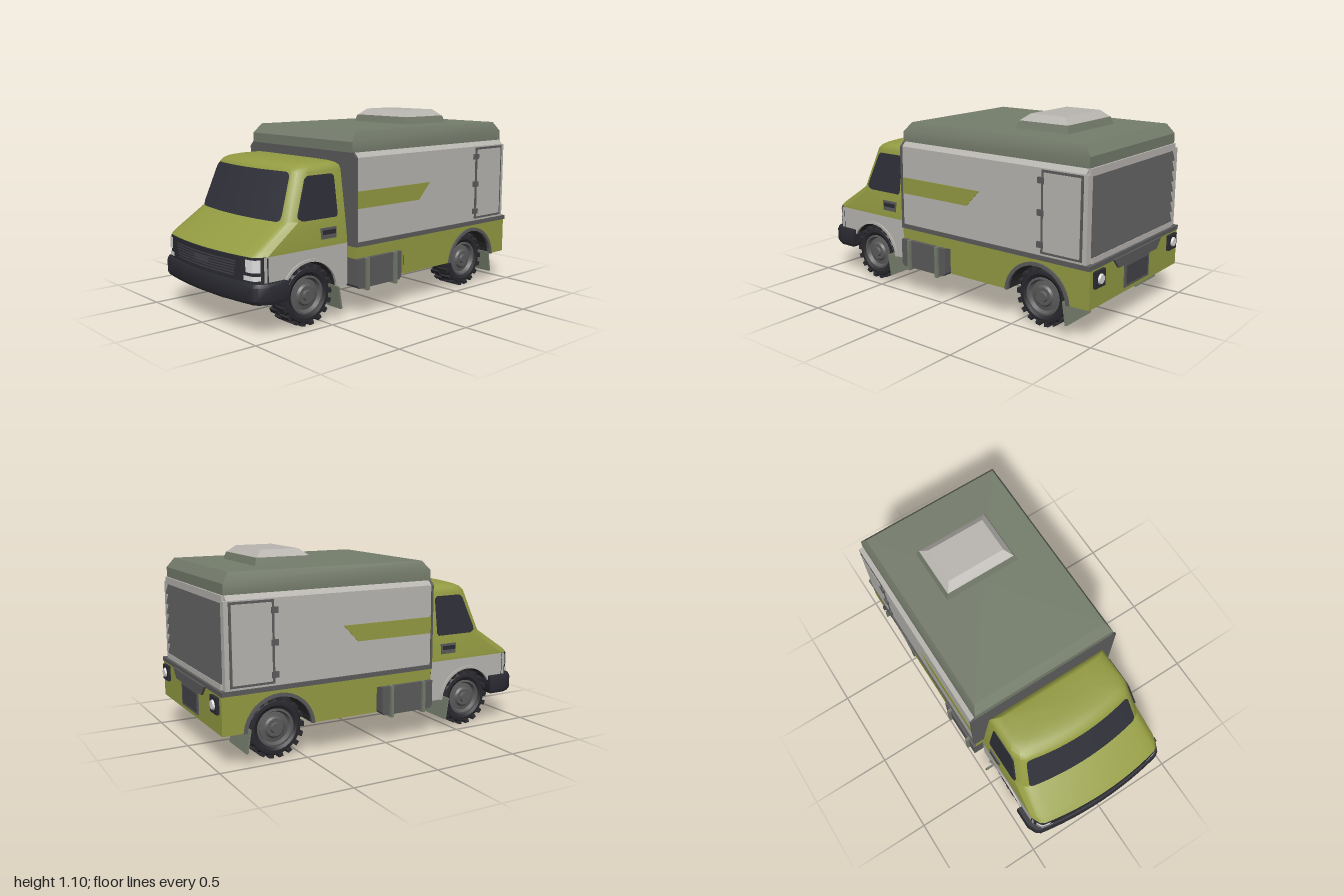
import * as THREE from 'three';
import { toCreasedNormals } from 'three/addons/utils/BufferGeometryUtils.js';

const mat = (name, color) => Object.assign(new THREE.MeshStandardMaterial({ color }), { name });
const M = {
  olive: mat('olive paint', 0x949c42), light: mat('light grey panel', 0xb9b6b1),
  roof: mat('grey green', 0x757d6c), trim: mat('dark grey trim', 0x5c5c5c),
  dark: mat('dark plastic', 0x2b2b33), glass: mat('dark glass', 0x32323c),
  tyre: mat('tyre rubber', 0x2a2a2f), floor: mat('underside', 0x2c2c2c),
  lamp: mat('lamp white', 0xdcdcdc), grille: mat('grille grey', 0x43434a),
};

// Stack of rings ([x, z] points, counter-clockwise from above) with closed ends
function loft(rings) {
  const pos = [], tri = (...p) => p.forEach(v => pos.push(...v));
  const P = rings.map(r => r.pts.map(([x, z]) => [x, r.y, z]));
  const n = P[0].length;
  for (let i = 0; i + 1 < P.length; i++) for (let j = 0; j < n; j++) {
    const k = (j + 1) % n;
    tri(P[i][j], P[i][k], P[i + 1][k], P[i][j], P[i + 1][k], P[i + 1][j]);
  }
  const mid = r => [0, r[0][1], r.reduce((s, p) => s + p[2], 0) / n];
  const bot = P[0], top = P[P.length - 1];
  for (let j = 0; j < n; j++) {
    const k = (j + 1) % n;
    tri(mid(top), top[j], top[k], mid(bot), bot[k], bot[j]);
  }
  const g = new THREE.BufferGeometry();
  g.setAttribute('position', new THREE.Float32BufferAttribute(pos, 3));
  return toCreasedNormals(g, 0.5);
}
const rect = (y, w, zf, zb) => ({ y, pts: [[-w, zf], [w, zf], [w, zb], [-w, zb]] });

// Bowed cab front: setback from the centre line at x
function setback(x, w) {
  const u = Math.abs(x), e = w - 0.05;
  return u < e ? 0.04 * (u / e) ** 2 : 0.04 + 0.07 * ((u - e) / 0.05) ** 2;
}
function bowed(y, w, zf, zb) {
  const xs = [-w, -w + 0.025];
  for (let i = -6; i <= 6; i++) xs.push((w - 0.05) * i / 6);
  xs.push(w - 0.025, w);
  return { y, pts: [...xs.map(x => [x, zf - setback(x, w)]), [w, zb], [-w, zb]] };
}

// Thin skin facing +z; span(y) gives [left, right], surf(x, y) gives z
function patch(ys, span, surf, n = 12) {
  const pos = [], idx = [];
  ys.forEach((y, r) => {
    const [a, b] = span(y);
    for (let i = 0; i <= n; i++) {
      const x = a + (b - a) * i / n;
      pos.push(x, y, surf(x, y));
      if (r && i) {
        const d = r * (n + 1) + i, c = d - n - 1;
        idx.push(c - 1, c, d, c - 1, d, d - 1);
      }
    }
  });
  const g = new THREE.BufferGeometry();
  g.setAttribute('position', new THREE.Float32BufferAttribute(pos, 3));
  g.setIndex(idx);
  g.computeVertexNormals();
  return g;
}

// Side profile of [z, y] points, extruded between x0 and x1
function side(pts, x0, x1) {
  const s = new THREE.Shape(pts.map(([z, y]) => new THREE.Vector2(-z, y)));
  return new THREE.ExtrudeGeometry(s, { depth: x1 - x0, bevelEnabled: false, curveSegments: 1 })
    .rotateY(Math.PI / 2).translate(x0, 0, 0);
}
function arc(zc, r, yMin = 0.185, n = 16) {
  const a = Math.asin((yMin - 0.17) / r);
  return Array.from({ length: n + 1 }, (_, i) => {
    const t = a + (Math.PI - 2 * a) * i / n;
    return [zc + r * Math.cos(t), 0.17 + r * Math.sin(t)];
  });
}
const archPanel = (z0, z1, zc, yTop) => [[z0, 0.185], ...arc(zc, 0.19), [z1, 0.185], [z1, yTop], [z0, yTop]];
const flare = (zc, r0, r1) => [...arc(zc, r1), ...arc(zc, r0).reverse()];

export function createModel() {
  const root = new THREE.Group();
  const add = (name, geo, m, parent = root) => {
    const mesh = new THREE.Mesh(geo, m);
    mesh.name = name;
    parent.add(mesh);
    return mesh;
  };
  const box = (name, m, x0, x1, y0, y1, z0, z1) => add(name, new THREE.BoxGeometry(x1 - x0, y1 - y0, z1 - z0)
    .translate((x0 + x1) / 2, (y0 + y1) / 2, (z0 + z1) / 2), m);
  // Same box on both sides of the vehicle
  const pair = (name, m, x0, x1, ...r) => { box(name, m, x0, x1, ...r); box(name, m, -x1, -x0, ...r); };
  const sides = (name, m, pts, x0, x1) => { add(name, side(pts, x0, x1), m); add(name, side(pts, -x1, -x0), m); };

  // Cab shell
  add('cabShell', loft([
    bowed(0.42, 0.443, 0.985, 0.345), bowed(0.445, 0.442, 0.955, 0.345), bowed(0.57, 0.425, 0.775, 0.345),
    bowed(0.82, 0.387, 0.685, 0.345), bowed(0.84, 0.378, 0.667, 0.348), bowed(0.854, 0.36, 0.64, 0.36),
    bowed(0.863, 0.32, 0.6, 0.375), bowed(0.867, 0.22, 0.55, 0.39),
  ]), M.olive);

  // Windscreen with rounded corners
  const r = 0.03, y0 = 0.57, y1 = 0.822;
  const wAt = y => y < 0.57 ? 0.443 - (y - 0.42) * 0.12 : 0.425 - (y - 0.57) * 0.152;
  const glassY = [0, 0.004, 0.012, 0.03, 0.12, 0.222, 0.24, 0.248, 0.252].map(d => y0 + d);
  add('windscreen', patch(glassY, y => {
    const d = Math.max(0, r - Math.min(y - y0, y1 - y));
    const h = 0.372 - (y - y0) * 0.13 - (r - Math.sqrt(Math.max(0, r * r - d * d)));
    return [-h, h];
  }, (x, y) => 0.775 - (y - 0.57) * 0.36 - setback(x, wAt(y)) + 0.007, 24), M.glass);

  // Side windows follow the leaning cab sides
  const win = [[0.4, 0.585], [0.41, 0.57], [0.64, 0.57], [0.665, 0.585], [0.665, 0.605], [0.597, 0.785], [0.58, 0.8], [0.415, 0.8], [0.4, 0.785]];
  for (const s of [1, -1]) {
    const g = side(win, -0.004, 0.005), p = g.attributes.position;
    for (let i = 0; i < p.count; i++) p.setX(i, p.getX(i) + s * wAt(p.getY(i)));
    add('sideWindow', g, M.glass);
  }
  pair('handleRecess', M.trim, 0.42, 0.441, 0.46, 0.52, 0.42, 0.525);
  pair('doorHandle', M.dark, 0.42, 0.447, 0.485, 0.508, 0.43, 0.515);

  // Lower cab
  sides('cabLowerSide', [M.light, M.floor], archPanel(0.9, 0.345, 0.61, 0.42), 0.27, 0.443);
  sides('frontWheelArch', M.light, flare(0.61, 0.185, 0.2), 0.435, 0.452);
  box('cabFloor', M.floor, -0.27, 0.27, 0.185, 0.42, 0.345, 0.9);
  box('cabBackPanel', M.olive, -0.44, 0.44, 0.19, 0.42, 0.34, 0.346);

  // Front face: lamps and grille
  add('frontFace', loft([bowed(0.28, 0.446, 0.985, 0.9), bowed(0.415, 0.446, 0.985, 0.9)]), M.dark);
  const face = off => x => 0.985 - setback(x, 0.446) + off;
  const strip = (name, m, a, b, ya, yb, off = 0.005) => add(name, patch([ya, yb], () => [a, b], face(off)), m);
  for (const s of [1, -1]) {
    const at = (a, b) => s > 0 ? [a, b] : [-b, -a];
    strip('headlamp', M.lamp, ...at(0.36, 0.432), 0.342, 0.408);
    strip('indicator', M.lamp, ...at(0.345, 0.432), 0.3, 0.325);
  }
  for (let i = 0; i < 6; i++) {
    const y = 0.312 + i * 0.0145, h = 0.272 + i * 0.004;
    strip('grilleBar', M.grille, -h, h, y, y + 0.008);
  }
  strip('frontPlate', M.grille, -0.07, 0.07, 0.34, 0.375, 0.008);
  add('frontBumper', loft([
    bowed(0.18, 0.468, 0.99, 0.78), bowed(0.2, 0.475, 1.0, 0.77), bowed(0.27, 0.475, 1.0, 0.77), bowed(0.288, 0.47, 0.993, 0.77),
  ]), M.dark);

  // Cargo box
  const section = (w, ya, yb) => new THREE.Shape([[-w, ya], [w, ya], [w, yb - 0.03], [w - 0.03, yb], [-w + 0.03, yb], [-w, yb - 0.03]]
    .map(p => new THREE.Vector2(...p)));
  const ext = (s, z0, z1) => new THREE.ExtrudeGeometry(s, { depth: z1 - z0, bevelEnabled: false }).translate(0, 0, z0);
  add('cargoBox', ext(section(0.482, 0.41, 0.912), -0.935, 0.31), M.light);
  add('frontWall', ext(section(0.489, 0.4, 0.912), 0.308, 0.32), M.trim);
  add('cargoRoof', loft([rect(0.908, 0.456, 0.32, -0.94), rect(0.965, 0.456, 0.32, -0.94), rect(1.02, 0.43, 0.275, -0.9)]), M.roof);
  add('hatchBase', loft([rect(1.015, 0.235, -0.32, -0.67), rect(1.062, 0.22, -0.335, -0.655)]), M.roof);
  add('hatchTop', loft([rect(1.06, 0.22, -0.335, -0.655), rect(1.1, 0.18, -0.385, -0.61)]), M.light);
  box('sill', M.trim, -0.49, 0.49, 0.395, 0.42, -0.975, 0.32);
  sides('sideStripe', M.olive, [[0.312, 0.605], [0.312, 0.7], [-0.265, 0.7], [-0.175, 0.605]], 0.48, 0.485);

  // Side doors
  pair('doorFrame', M.trim, 0.478, 0.487, 0.432, 0.875, -0.925, -0.675);
  pair('doorPanel', M.light, 0.48, 0.49, 0.445, 0.862, -0.912, -0.69);
  for (const y of [0.48, 0.65, 0.82]) pair('doorHinge', M.trim, 0.478, 0.496, y - 0.016, y + 0.016, -0.695, -0.655);

  // Rear roller shutter
  const slats = [[-0.93, 0.45]];
  for (let i = 0; i < 7; i++) slats.push([-0.957, 0.45 + i * 0.06], [-0.942, 0.507 + i * 0.06]);
  slats.push([-0.93, 0.87]);
  add('rollerShutter', side(slats, -0.44, 0.44), M.trim);
  pair('rearPost', M.light, 0.44, 0.482, 0.42, 0.88, -0.95, -0.93);
  box('rearHeader', M.light, -0.455, 0.455, 0.868, 0.908, -0.95, -0.93);
  box('shutterSill', M.light, -0.44, 0.44, 0.42, 0.45, -0.96, -0.93);

  // Lower body
  box('midSkirt', M.olive, -0.48, 0.48, 0.33, 0.396, -0.06, 0.318);
  sides('rearSkirt', [M.olive, M.floor], archPanel(-0.055, -0.965, -0.65, 0.396), 0.27, 0.48);
  sides('rearWheelArch', M.trim, flare(-0.65, 0.188, 0.207), 0.47, 0.49);
  box('rearFloor', M.floor, -0.27, 0.27, 0.185, 0.396, -0.965, -0.055);
  box('skirtFront', M.olive, -0.479, 0.479, 0.187, 0.394, -0.056, -0.05);
  box('rearPanel', M.olive, -0.48, 0.48, 0.186, 0.396, -0.973, -0.964);
  const step = new THREE.Shape([[-0.26, 0.4], [-0.21, 0.345], [0.21, 0.345], [0.26, 0.4]].map(p => new THREE.Vector2(...p)));
  add('rearStep', ext(step, -0.985, -0.965), M.trim);
  box('rearPlateFrame', M.trim, -0.135, 0.135, 0.21, 0.345, -0.979, -0.965);
  box('rearPlate', M.grille, -0.115, 0.115, 0.225, 0.33, -0.982, -0.975);
  pair('tailLampHousing', M.dark, 0.355, 0.45, 0.295, 0.385, -0.99, -0.965);
  for (const s of [1, -1]) add('tailLamp', new THREE.CylinderGeometry(0.024, 0.03, 0.012, 16)
    .rotateX(-Math.PI / 2).translate(s * 0.403, 0.34, -0.994), M.lamp);

  // Side tanks with straps
  sides('tank', M.trim, [[0.318, 0.18], [0.318, 0.328], [-0.022, 0.328], [-0.022, 0.18], [-0.007, 0.163], [0.303, 0.163]], 0.36, 0.497);
  for (const z of [0.25, 0.035]) pair('tankStrap', M.roof, 0.355, 0.514, 0.15, 0.332, z - 0.009, z + 0.009);

  // Wheels and mud flaps
  const lathe = pts => toCreasedNormals(new THREE.LatheGeometry(pts.map(p => new THREE.Vector2(...p)), 28), 0.6);
  const tyreGeo = lathe([[0.1, -0.055], [0.125, -0.07], [0.145, -0.068], [0.157, -0.048], [0.157, 0.048], [0.145, 0.068], [0.125, 0.07], [0.1, 0.055]]);
  const rimGeo = lathe([[0, -0.045], [0.104, -0.045], [0.106, 0.066], [0.095, 0.068], [0.084, 0.045], [0.06, 0.05], [0.05, 0.062], [0.03, 0.062], [0.026, 0.075], [0, 0.075]]);
  const lugGeo = new THREE.BoxGeometry(0.02, 0.068, 0.027);
  for (const zc of [0.61, -0.65]) for (const s of [1, -1]) {
    const wheel = new THREE.Group();
    wheel.name = zc > 0 ? 'frontWheel' : 'rearWheel';
    add('tyre', tyreGeo, M.tyre, wheel);
    add('rim', rimGeo, M.trim, wheel);
    for (let i = 0; i < 36; i++) {
      const a = i * Math.PI / 18;
      const lug = add('treadLug', lugGeo, M.tyre, wheel);
      lug.position.set(0.158 * Math.cos(a), i % 2 ? 0.035 : -0.035, 0.158 * Math.sin(a));
      lug.rotation.y = -a;
    }
    wheel.rotation.z = -s * Math.PI / 2;
    wheel.position.set(s * 0.358, 0.17, zc);
    root.add(wheel);
  }
  for (const z of [0.44, -0.825]) sides('mudFlap', M.roof,
    [[z + 0.01, 0.2], [z, 0.2], [z - 0.022, 0.075], [z - 0.01, 0.072]], 0.25, 0.488);

  return root;
}
